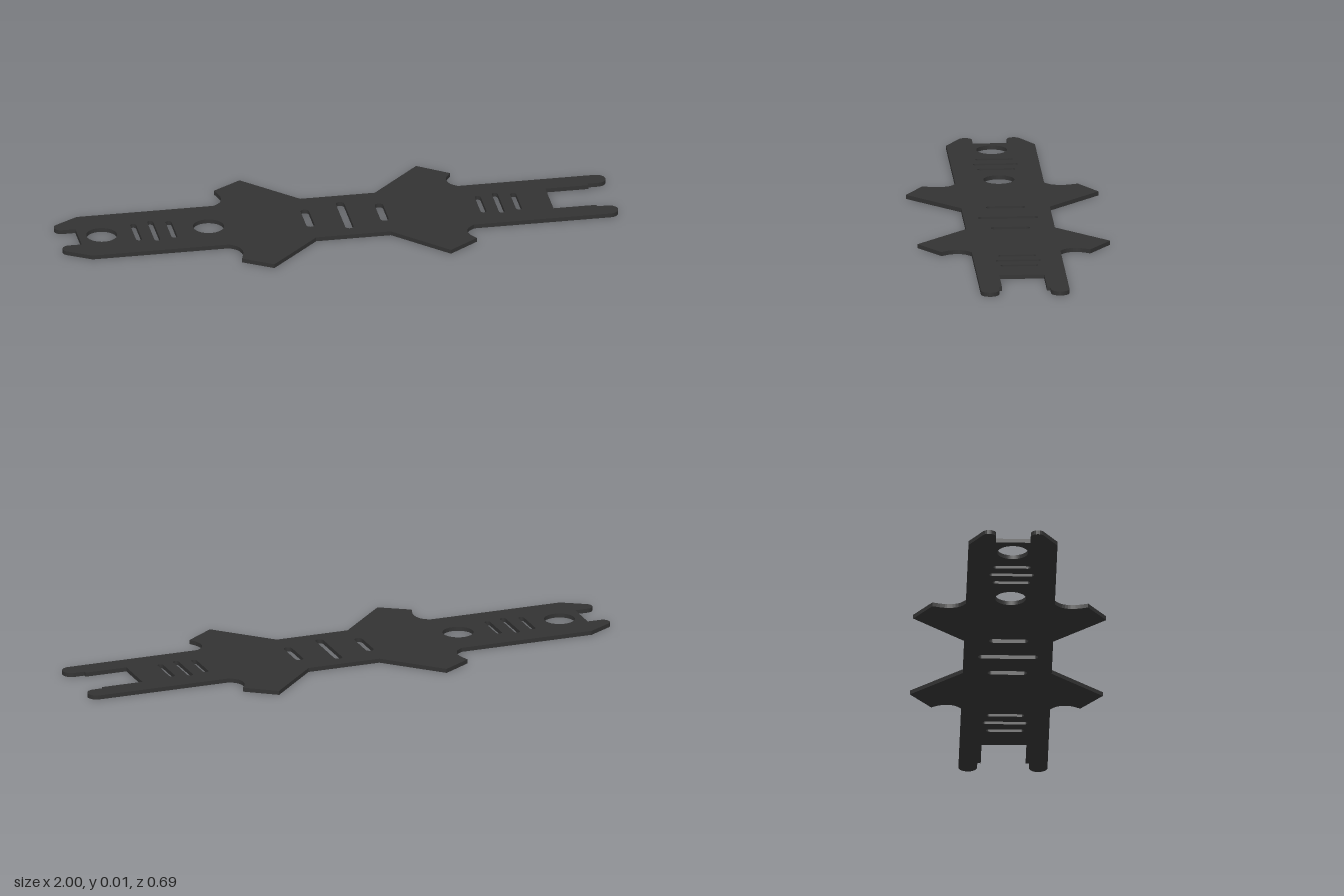
import * as THREE from 'three';

const THICKNESS = 0.015;
const v = (x, y) => new THREE.Vector2(x, y);

// Smooth run through a few points
const curve = (pts) => new THREE.SplineCurve(pts.map(p => v(...p))).getPoints(14);

// Sampled circular arc, angles in degrees
function arc(cx, cy, r, from, to, n = 12) {
  return Array.from({ length: n + 1 }, (_, i) => {
    const a = THREE.MathUtils.degToRad(from + (to - from) * i / n);
    return v(cx + r * Math.cos(a), cy + r * Math.sin(a));
  });
}

// Slot with round ends, running across the plate
function slot(x, halfLength, width) {
  const r = width / 2, e = halfLength - r;
  return new THREE.Path([...arc(x, e, r, 0, 180), ...arc(x, -e, r, 180, 360)]);
}

const roundHole = (x, r) => new THREE.Path(arc(x, 0, r, 0, 360, 48).slice(0, -1));

export function createModel() {
  const group = new THREE.Group();
  group.name = 'framePlate';

  // One half of the outline, from the notched end to the forked end
  const half = [
    v(-0.927, 0.062), v(-0.975, 0.062),
    ...arc(-0.975, 0.087, 0.025, 270, 128, 8),
    v(-0.905, 0.158),
    ...curve([[-0.41, 0.158], [-0.384, 0.18], [-0.373, 0.215], [-0.377, 0.245], [-0.387, 0.277]]),
    v(-0.282, 0.343), v(-0.097, 0.158),
    v(0.173, 0.158), v(0.356, 0.343),
    ...curve([[0.464, 0.265], [0.446, 0.235], [0.441, 0.205], [0.451, 0.178], [0.473, 0.158]]),
    ...arc(0.967, 0.125, 0.033, 90, -90, 16),
    v(0.93, 0.092), v(0.93, 0.08), v(0.775, 0.08),
  ];
  const mirrored = half.map(p => v(p.x, -p.y)).reverse();
  const outline = new THREE.Shape([...half, ...mirrored]);

  // Round openings
  for (const x of [-0.843, -0.457]) outline.holes.push(roundHole(x, 0.055));

  // Two groups of three narrow strap slots
  for (const x of [-0.655, 0.59]) {
    for (const i of [-1, 0, 1]) outline.holes.push(slot(x + i * 0.064, i ? 0.067 : 0.08, 0.021));
  }

  // Wider slots in the middle
  for (const i of [-1, 0, 1]) outline.holes.push(slot(0.035 + i * 0.134, i ? 0.07 : 0.107, 0.03));

  const geometry = new THREE.ExtrudeGeometry(outline, { depth: THICKNESS, bevelEnabled: false });
  geometry.rotateX(-Math.PI / 2);

  const plate = new THREE.Mesh(geometry, new THREE.MeshStandardMaterial({ color: 0x333333 }));
  plate.name = 'plate';
  group.add(plate);
  return group;
}
